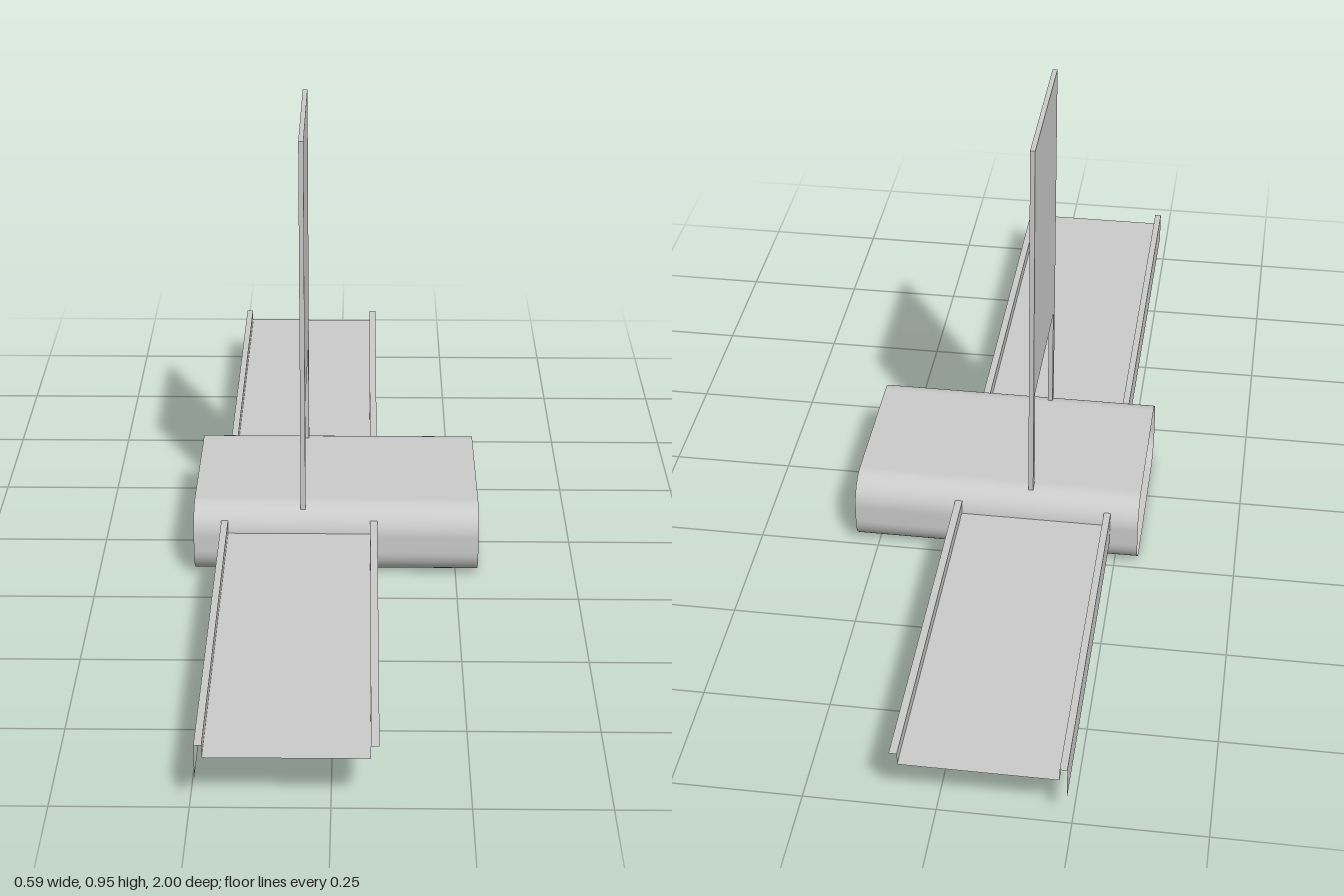
import * as THREE from 'three';

const sheetMaterial = new THREE.MeshStandardMaterial({ color: 0xcccccc, side: THREE.DoubleSide });
const solidMaterial = new THREE.MeshStandardMaterial({ color: 0xcccccc });

// Thin sheet: a profile in the xy plane swept along z from z0 to z1
function sweepSheet(points, z0, z1, closed) {
  const n = points.length;
  const positions = [], index = [];
  for (const z of [z0, z1]) for (const p of points) positions.push(p.x, p.y, z);
  for (let i = 0; i < (closed ? n : n - 1); i++) {
    const j = (i + 1) % n;
    index.push(i, j, n + j, i, n + j, n + i);
  }
  const geometry = new THREE.BufferGeometry();
  geometry.setAttribute('position', new THREE.Float32BufferAttribute(positions, 3));
  geometry.setIndex(index);
  return geometry;
}

// Rounded rectangle outline, counter-clockwise, without a repeated end point
function roundedOutline(x0, x1, y0, y1, r, segments) {
  const corners = [[x1 - r, y0 + r], [x1 - r, y1 - r], [x0 + r, y1 - r], [x0 + r, y0 + r]];
  const points = [];
  corners.forEach(([cx, cy], k) => {
    for (let i = 0; i <= segments; i++) {
      const a = (k - 1 + i / segments) * Math.PI / 2;
      points.push(new THREE.Vector2(cx + r * Math.cos(a), cy + r * Math.sin(a)));
    }
  });
  return points;
}

function rectangle(Type, x0, x1, y0, y1) {
  return new Type([[x0, y0], [x1, y0], [x1, y1], [x0, y1]].map(p => new THREE.Vector2(...p)));
}

export function createModel() {
  const model = new THREE.Group();
  const add = (name, geometry, material) => {
    const mesh = new THREE.Mesh(geometry, material);
    mesh.name = name;
    model.add(mesh);
  };

  // Open-ended sleeve with rounded corners, running along x
  const sleeve = sweepSheet(roundedOutline(-0.25, 0.163, 0, 0.155, 0.06, 12), -0.296, 0.298, true);
  sleeve.rotateY(-Math.PI / 2);
  sleeve.computeVertexNormals();
  add('sleeve', sleeve, sheetMaterial);

  // Long folded tray through the sleeve: drop flange, lip, wall, floor, wall, lip
  const profile = [[-0.24, 0.06], [-0.24, 0.128], [-0.226, 0.128], [-0.226, 0.103],
    [0.07, 0.103], [0.07, 0.128], [0.085, 0.128]].map(p => new THREE.Vector2(...p));
  const tray = sweepSheet(profile, -1, 1, false).toNonIndexed();
  tray.computeVertexNormals();
  add('tray', tray, sheetMaterial);

  // Upright panel on two legs joined by a foot bar
  const outline = rectangle(THREE.Shape, -0.213, 0.135, 0.06, 0.95);
  outline.holes.push(rectangle(THREE.Path, -0.19, 0.112, 0.07, 0.38));
  const panel = new THREE.ExtrudeGeometry(outline, { depth: 0.01, bevelEnabled: false });
  panel.rotateY(-Math.PI / 2);
  panel.translate(-0.065, 0, 0);
  add('uprightPanel', panel, solidMaterial);

  return model;
}
